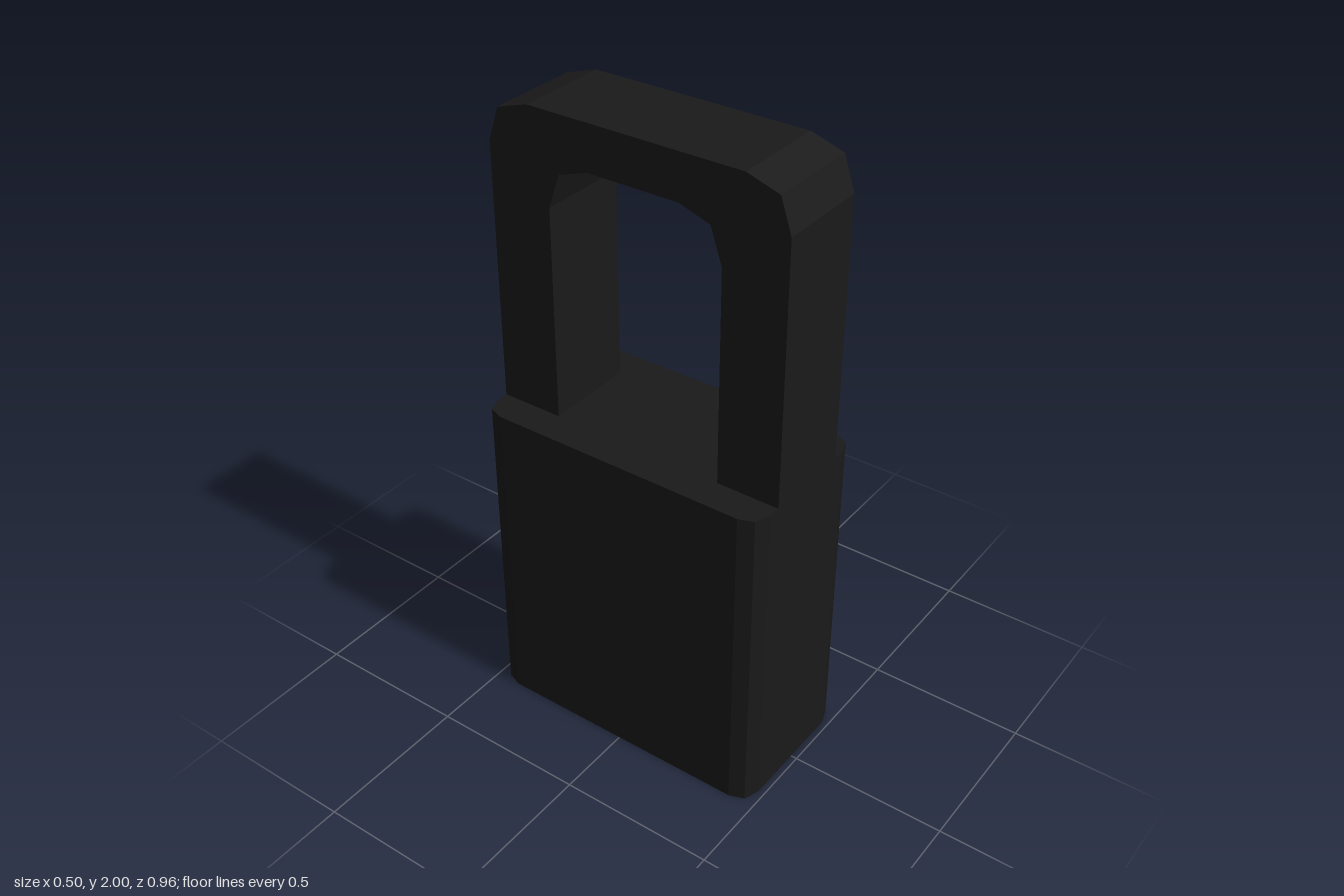
import * as THREE from 'three';

const black = new THREE.MeshStandardMaterial({ color: 0x1a1a1a, flatShading: true });

// Mirror a run of points across the vertical axis, reversing the order
const mirrorX = (pts) => pts.map(([x, y]) => [-x, y]).reverse();

function extrude(name, pts, depth) {
  const shape = new THREE.Shape(pts.map(([x, y]) => new THREE.Vector2(x, y)));
  const geometry = new THREE.ExtrudeGeometry(shape, { depth, bevelEnabled: false });
  const mesh = new THREE.Mesh(geometry, black);
  mesh.name = name;
  return mesh;
}

export function createModel() {
  const model = new THREE.Group();
  model.name = 'padlock';

  // Body: rectangle with two-step chamfered corners, extruded upward
  const corner = [[0.25, 0.415], [0.233, 0.462], [0.183, 0.48]];
  const half = [...corner.map(([x, z]) => [x, -z]).reverse(), ...corner];
  const body = extrude('lockBody', [...half, ...mirrorX(half)], 1.05);
  body.geometry.rotateX(-Math.PI / 2);
  model.add(body);

  // Shackle: square-section arch standing on the body, extruded across x
  const outer = [[0.48, 1.05], [0.48, 1.865], [0.445, 1.968], [0.343, 2]];
  const inner = [[0.28, 1.05], [0.28, 1.72], [0.243, 1.828], [0.145, 1.86]];
  const arch = [...outer, ...mirrorX(outer), ...mirrorX(inner).reverse(), ...inner.slice().reverse()];
  const width = 0.294;
  const shackle = extrude('shackle', arch, width);
  shackle.geometry.translate(0, 0, -width / 2).rotateY(-Math.PI / 2);
  model.add(shackle);

  return model;
}
